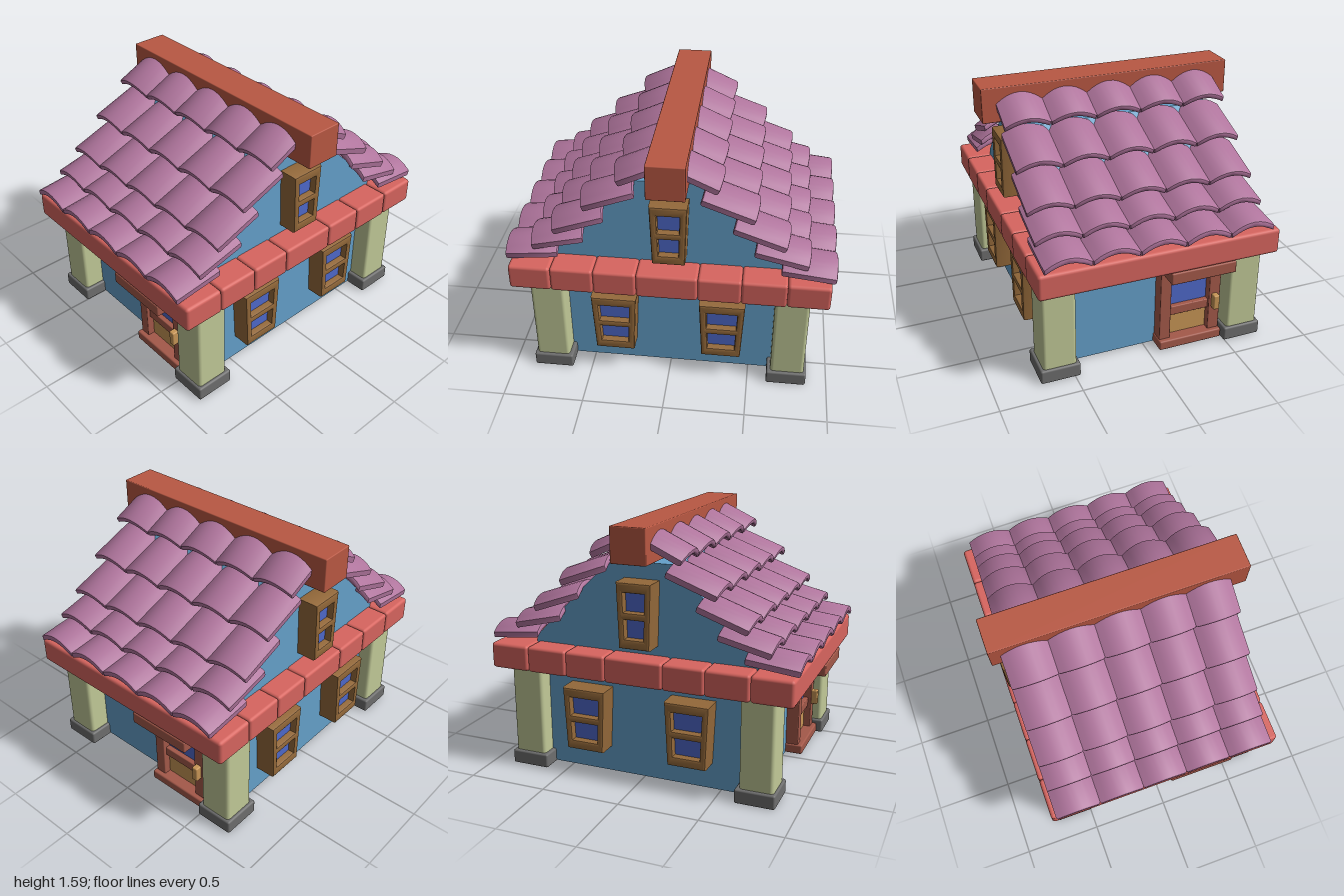
import * as THREE from 'three';
import { toCreasedNormals } from 'three/addons/utils/BufferGeometryUtils.js';
import { RoundedBoxGeometry } from 'three/addons/geometries/RoundedBoxGeometry.js';

function mat(name, color) {
  const m = new THREE.MeshStandardMaterial({ color });
  m.name = name;
  return m;
}

const M = {
  wall: mat('blue wall', 0x65a1cb),
  tile: mat('purple tile', 0xb0759d),
  eave: mat('coral eave', 0xd8655f),
  beam: mat('rust beam', 0xb95843),
  door: mat('red brown wood', 0xa4594a),
  wood: mat('brown wood', 0x94693a),
  glass: mat('blue glass', 0x4f69cb),
  tan: mat('tan wood', 0xc89656),
  pillar: mat('pale green pillar', 0xc2ca98),
  stone: mat('grey stone', 0x6e6e6e),
};

function add(parent, name, geometry, material) {
  const mesh = new THREE.Mesh(geometry, material);
  mesh.name = name;
  parent.add(mesh);
  return mesh;
}

// Box given by its limits, optionally with rounded edges
function box(parent, name, material, [x0, x1], [y0, y1], [z0, z1], r = 0) {
  const s = [x1 - x0, y1 - y0, z1 - z0];
  const geo = r ? new RoundedBoxGeometry(...s, 2, r) : new THREE.BoxGeometry(...s);
  const mesh = add(parent, name, geo, material);
  mesh.position.set((x0 + x1) / 2, (y0 + y1) / 2, (z0 + z1) / 2);
  return mesh;
}

// Arched roof tile: crown on y = 0, running from z = 0 to z = length
function tileGeometry(length) {
  const b = 0.012, w = 0.1415 - b;
  const s = new THREE.Shape();
  s.moveTo(-w, -0.086 + b);
  s.quadraticCurveTo(0, 0.004 + b, w, -0.086 + b);
  s.lineTo(w, -0.048 - b);
  s.quadraticCurveTo(0, 0.048 - b, -w, -0.048 - b);
  const geo = new THREE.ExtrudeGeometry(s, {
    depth: length - 2 * b, bevelThickness: b, bevelSize: b, bevelSegments: 2, curveSegments: 8,
  });
  geo.translate(0, 0, b);
  return toCreasedNormals(geo, 0.7);
}

// Symmetric trapezoid, given bottom and top half widths
function trapezoid(target, y0, y1, w0, w1) {
  target.moveTo(-w0, y0);
  target.lineTo(w0, y0);
  target.lineTo(w1, y1);
  target.lineTo(-w1, y1);
  target.closePath();
  return target;
}

// Two-pane window facing +z, its front on z = 0 and its bottom on y = 0
function makeWindow(w0, w1, height) {
  const g = new THREE.Group();
  g.name = 'window';
  const b = 0.014, rim = 0.042;
  const shape = trapezoid(new THREE.Shape(), b, height - b, w0 - b, w1 - b);
  const half = (y) => w0 + (w1 - w0) * (y / height) - rim;
  for (const [y0, y1] of [[0.06, 0.175], [0.22, 0.335]]) {
    shape.holes.push(trapezoid(new THREE.Path(), y0 - b, y1 + b, half(y0) + b, half(y1) + b));
    const pane = trapezoid(new THREE.Shape(), y0 - 0.01, y1 + 0.01, half(y0) + 0.01, half(y1) + 0.01);
    add(g, 'windowPane', new THREE.ShapeGeometry(pane), M.glass).position.z = -0.045;
  }
  const frame = new THREE.ExtrudeGeometry(shape, {
    depth: 0.13, bevelThickness: b, bevelSize: b, bevelSegments: 2,
  });
  frame.translate(0, 0, -0.13 - b);
  add(g, 'windowFrame', toCreasedNormals(frame, 0.5), M.wood);
  return g;
}

function makeDoor() {
  const g = new THREE.Group();
  g.name = 'door';
  box(g, 'doorLintel', M.door, [0.04, 0.46], [0.565, 0.642], [0.70, 0.962], 0.008);
  box(g, 'doorThreshold', M.door, [0.04, 0.46], [0.008, 0.07], [0.70, 0.83], 0.01);
  for (const x of [[0.048, 0.12], [0.38, 0.455]]) {
    box(g, 'doorJamb', M.door, x, [0.06, 0.57], [0.70, 0.80], 0.006);
  }
  box(g, 'doorRail', M.door, [0.115, 0.385], [0.218, 0.28], [0.70, 0.78], 0.006);
  box(g, 'doorGlass', M.glass, [0.115, 0.385], [0.27, 0.57], [0.74, 0.749]);
  box(g, 'doorPanel', M.tan, [0.115, 0.385], [0.06, 0.23], [0.70, 0.755]);
  box(g, 'doorHandle', M.tan, [0.395, 0.435], [0.23, 0.33], [0.78, 0.84], 0.008);
  return g;
}

// Inner and outer crown points [z, y] of each tile row, ridge to eave
const ROWS = [
  [[0.06, 1.575], [0.32, 1.455]],
  [[0.215, 1.39], [0.525, 1.275]],
  [[0.40, 1.21], [0.71, 1.10]],
  [[0.52, 1.06], [0.837, 0.985]],
  [[0.672, 0.942], [0.995, 0.906]],
];

function makeRoofSlope() {
  const g = new THREE.Group();
  g.name = 'roofSlope';
  for (const [[z0, y0], [z1, y1]] of ROWS) {
    const geo = tileGeometry(Math.hypot(z1 - z0, y1 - y0));
    for (let i = 0; i < 5; i++) {
      const t = add(g, 'roofTile', geo, M.tile);
      t.position.set(-0.5935 + i * 0.283, y0, z0);
      t.rotation.x = Math.atan2(y0 - y1, z1 - z0);
    }
  }
  return g;
}

// Half of the house: one front with its door, pillars and slope, plus one side
function makeHalf(name, windowX) {
  const g = new THREE.Group();
  g.name = name;
  g.add(makeRoofSlope(), makeDoor());

  // Eave: long front beam and short side blocks
  box(g, 'eaveBeam', M.eave, [-0.765, 0.74], [0.643, 0.805], [0.71, 0.965], 0.02);
  const cuts = [0.71, 0.45, 0.19, -0.18, -0.44, -0.71];
  for (let i = 0; i < 5; i++) {
    box(g, 'eaveBlock', M.eave, [0.49, 0.74], [0.643, 0.805], [cuts[i + 1], cuts[i]], 0.018);
  }

  // Corner pillars on stone bases
  for (const x of [-0.615, 0.59]) {
    box(g, 'pillar', M.pillar, [x - 0.105, x + 0.105], [0.05, 0.68], [0.643, 0.853], 0.022);
    box(g, 'pillarBase', M.stone, [x - 0.124, x + 0.124], [0, 0.09], [0.62, 0.868], 0.012);
  }

  // Side windows: two below, one in the gable
  const spots = [[0.34, 0.175, 0.122, 0.14], [-0.327, 0.175, 0.122, 0.14], [-0.003, 0.865, 0.098, 0.111]];
  for (const [z, y, w0, w1] of spots) {
    const w = makeWindow(w0, w1, 0.397);
    w.position.set(windowX, y, z);
    w.rotation.y = Math.PI / 2;
    g.add(w);
  }
  return g;
}

export function createModel() {
  const house = new THREE.Group();
  house.name = 'house';

  // Solid body with gabled ends, extruded along x
  const gable = new THREE.Shape();
  gable.moveTo(-0.72, 0.01);
  gable.lineTo(0.72, 0.01);
  gable.lineTo(0.72, 0.84);
  gable.lineTo(0.2, 1.36);
  gable.lineTo(-0.2, 1.36);
  gable.lineTo(-0.72, 0.84);
  const body = new THREE.ExtrudeGeometry(gable, { depth: 1.2, bevelEnabled: false });
  body.rotateY(Math.PI / 2);
  add(house, 'walls', body, M.wall).position.x = -0.625;

  box(house, 'ridgeBeam', M.beam, [-0.8, 0.795], [1.375, 1.59], [-0.115, 0.108], 0.006);

  // The back half repeats the front half, turned half a circle
  const back = makeHalf('backHalf', 0.729);
  back.rotation.y = Math.PI;
  back.position.x = -0.026;
  house.add(makeHalf('frontHalf', 0.695), back);
  return house;
}
